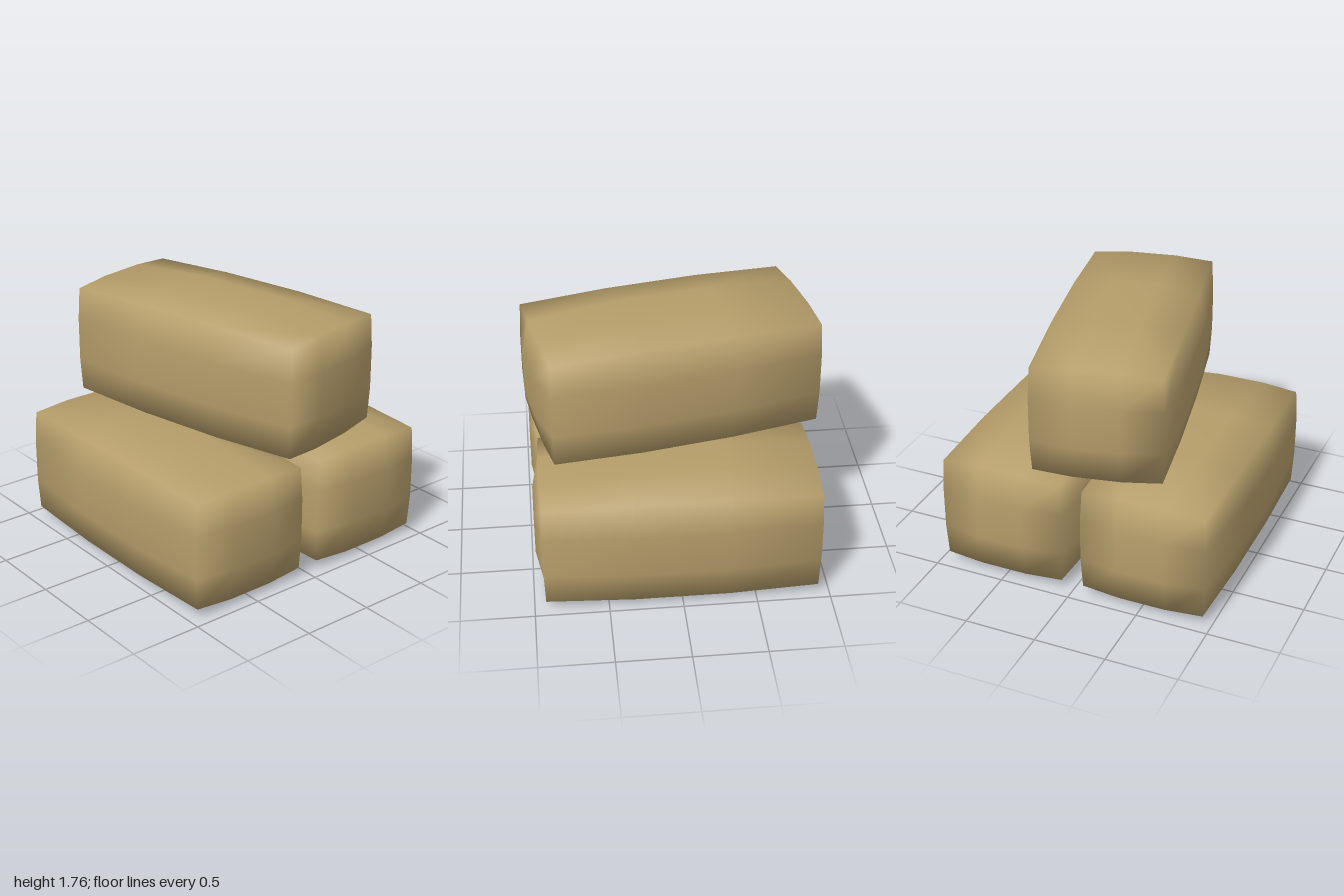
import * as THREE from 'three';
import { mergeVertices } from 'three/addons/utils/BufferGeometryUtils.js';

// Half extents per axis: on a face's middle, on an edge, at a corner
const OUTER = [[0.975, 0.93, 0.922], [0.44, 0.391, 0.372], [0.49, 0.442, 0.43]];
// Where the inner rows of each face lie
const INNER = [0.32, 0.15, 0.165];

// A stuffed bag: a 3 x 3 x 3 box whose faces bulge and whose corners are drawn in
function bagGeometry() {
  let geometry = new THREE.BoxGeometry(2, 2, 2, 3, 3, 3);
  geometry.deleteAttribute('normal');
  geometry.deleteAttribute('uv');
  geometry = mergeVertices(geometry, 1e-3);
  geometry.clearGroups();
  const pos = geometry.attributes.position;
  for (let i = 0; i < pos.count; i++) {
    const p = [pos.getX(i), pos.getY(i), pos.getZ(i)];
    const onSide = p.map((v) => Math.abs(v) > 0.9);
    const sides = onSide.filter(Boolean).length;
    const q = p.map((v, a) => Math.sign(v) * (onSide[a] ? OUTER[a][sides - 1] : INNER[a]));
    pos.setXYZ(i, ...q);
  }
  geometry.computeVertexNormals();
  return geometry;
}

export function createModel() {
  const model = new THREE.Group();
  model.name = 'sandbagStack';
  const burlap = new THREE.MeshStandardMaterial({ color: 0xb59d6a });
  burlap.name = 'burlap';
  const geometry = bagGeometry();

  // Two bags side by side, a third laid askew on top
  const bags = [
    ['frontBag', 0.44, 0.51, 0],
    ['backBag', 0.44, -0.51, 0],
    ['topBag', 1.32, 0, 0.2],
  ];
  for (const [name, y, z, turn] of bags) {
    const bag = new THREE.Mesh(geometry, burlap);
    bag.name = name;
    bag.position.set(0, y, z);
    bag.rotation.y = turn;
    model.add(bag);
  }
  return model;
}
